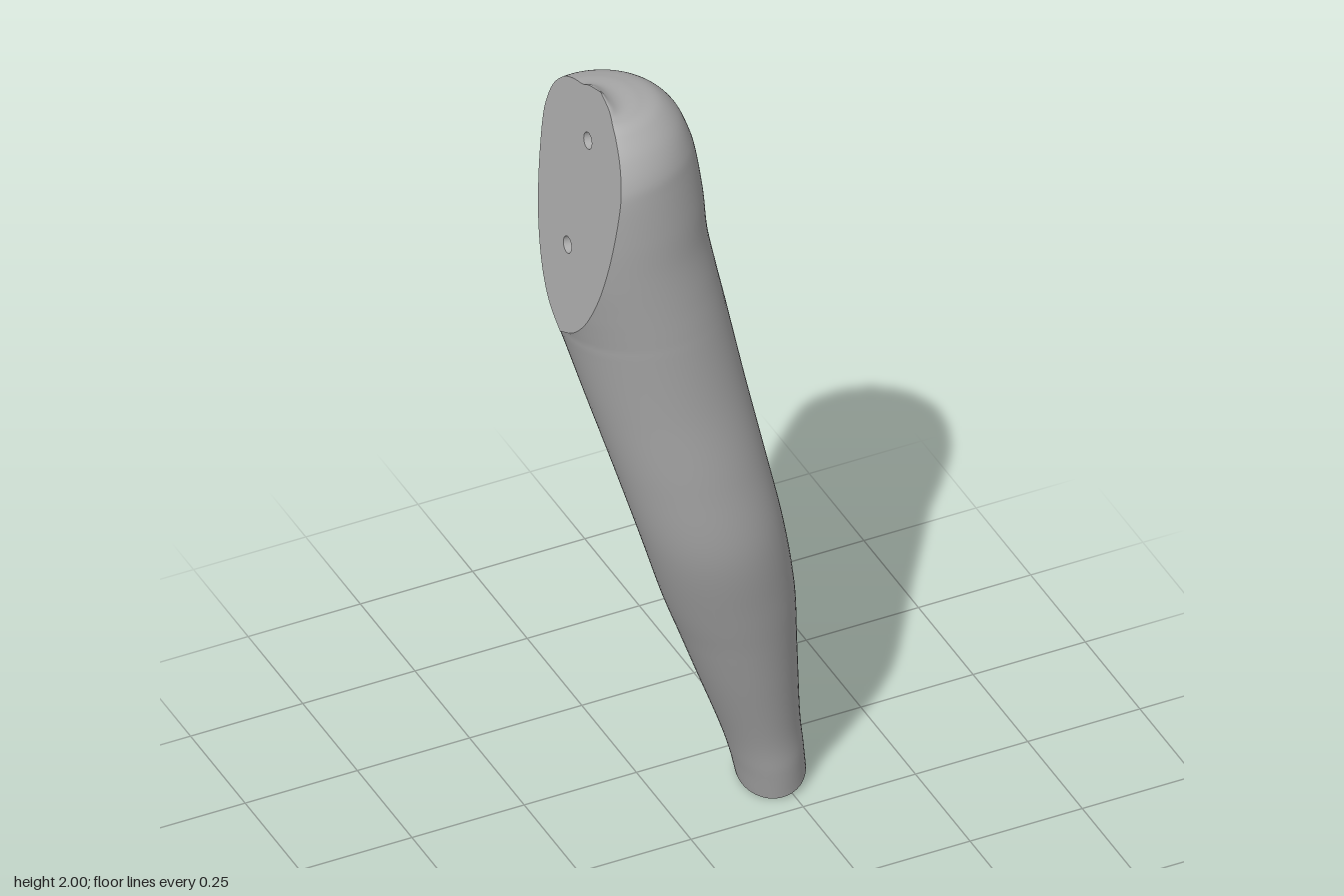
import * as THREE from 'three';
import { mergeVertices } from 'three/addons/utils/BufferGeometryUtils.js';

// Horizontal sections of the arm: y, left x, right x, back z, front z
const SECTIONS = [
  [0.027, 0.17, 0.306, -0.215, -0.04],
  [0.1, 0.15, 0.294, -0.21, -0.022],
  [0.2, 0.115, 0.278, -0.2, 0.0],
  [0.4, 0.033, 0.25, -0.168, 0.06],
  [0.6, -0.048, 0.222, -0.135, 0.117],
  [0.8, -0.118, 0.177, -0.102, 0.165],
  [1.0, -0.182, 0.13, -0.097, 0.18],
  [1.2, -0.245, 0.085, -0.105, 0.187],
  [1.4, -0.307, 0.042, -0.12, 0.2],
  [1.5, -0.345, 0.02, -0.126, 0.206],
  [1.6, -0.385, 0.0, -0.132, 0.212],
  [1.7, -0.415, -0.01, -0.138, 0.218],
  [1.8, -0.43, -0.026, -0.14, 0.219],
  [1.85, -0.41, -0.04, -0.134, 0.213],
  [1.9, -0.39, -0.062, -0.113, 0.193],
  [1.94, -0.36, -0.1, -0.075, 0.165],
  [1.96, -0.33, -0.15, -0.035, 0.145],
  [1.972, -0.29, -0.2, 0.005, 0.135],
  [1.985, -0.26, -0.225, 0.03, 0.12],
  [2.0, -0.242, -0.238, 0.078, 0.082],
];
const AROUND = 64;
const STEPS = 8;

// Flat shoulder joint: a plane through its lowest point, leaning slightly
const JOINT = new THREE.Vector3(-0.31, 1.41, 0);
const UP = new THREE.Vector3(0.07, 0.59, 0).normalize();
const OUT = new THREE.Vector3(-UP.y, UP.x, 0);
const planeX = (y) => JOINT.x + (y - JOINT.y) * UP.x / UP.y;

// Point on a section; the wrist end is tilted, fading out up the arm
function sectionPoint(s, c, n) {
  const dx = s.rx * c, dz = s.rz * n;
  const tilt = Math.max(0, 1 - s.y / 0.5);
  return new THREE.Vector3(s.cx + dx, s.y + tilt * (0.26 * dx - 0.2 * dz), s.cz + dz);
}

function smoothSections() {
  const curve = (f) => new THREE.CatmullRomCurve3(SECTIONS.map(f), false, 'catmullrom', 0.5);
  const centres = curve(([y, l, r, b, f]) => new THREE.Vector3((l + r) / 2, y, (b + f) / 2));
  const radii = curve(([y, l, r, b, f]) => new THREE.Vector3((r - l) / 2, y, (f - b) / 2));
  const count = (SECTIONS.length - 1) * STEPS;
  const list = [];
  for (let i = 0; i <= count; i++) {
    const c = centres.getPoint(i / count), r = radii.getPoint(i / count);
    const s = { y: c.y, cx: c.x, cz: c.z, rx: Math.max(r.x, 0.001), rz: Math.max(r.z, 0.001) };
    // Half angle of the section that lies outside the joint plane
    const k = (planeX(s.y) - s.cx) / s.rx;
    s.cut = s.y > 1.3 && k > -1;
    s.angle = s.cut ? Math.acos(Math.min(k, 0.99)) : Math.PI;
    list.push(s);
  }
  return list;
}

export function createModel() {
  const group = new THREE.Group();
  const grey = new THREE.MeshStandardMaterial({ color: 0xb0b0b0, side: THREE.DoubleSide });
  grey.name = 'plain grey';
  const add = (name, geometry) => {
    const mesh = new THREE.Mesh(geometry, grey);
    mesh.name = name;
    group.add(mesh);
    return mesh;
  };
  const sections = smoothSections();

  // Arm skin
  const positions = [], index = [], row = AROUND + 1;
  sections.forEach((s, i) => {
    for (let j = 0; j <= AROUND; j++) {
      const a = s.angle * (2 * j / AROUND - 1);
      positions.push(...sectionPoint(s, Math.cos(a), Math.sin(a)).toArray());
      if (i < sections.length - 1 && j < AROUND) {
        const p = i * row + j;
        index.push(p, p + row, p + 1, p + 1, p + row, p + row + 1);
      }
    }
  });
  let skin = new THREE.BufferGeometry();
  skin.setAttribute('position', new THREE.Float32BufferAttribute(positions, 3));
  skin.setIndex(index);
  skin = mergeVertices(skin, 1e-5);
  skin.computeVertexNormals();
  add('arm', skin);

  // Flat wrist end
  const wrist = new THREE.CircleGeometry(1, AROUND);
  const wp = wrist.attributes.position;
  for (let i = 0; i < wp.count; i++) {
    const p = sectionPoint(sections[0], wp.getX(i), wp.getY(i));
    wp.setXYZ(i, p.x, p.y, p.z);
  }
  wrist.computeVertexNormals();
  add('wristEnd', wrist);

  // Flat shoulder face, outlined by the cut edges of the sections
  const cut = sections.filter((s) => s.cut);
  const edge = (side) => cut.map((s) =>
    new THREE.Vector2(s.cz + side * s.rz * Math.sin(s.angle), (s.y - JOINT.y) / UP.y));
  const below = sections[sections.indexOf(cut[0]) - 1];
  const bottom = new THREE.Vector2(below.cz, (below.y - JOINT.y) / UP.y);
  const face = new THREE.Shape([bottom, ...edge(1), ...edge(-1).reverse()]);
  const pegHoles = [[0.025, 0.19], [0.053, 0.46]];
  const holeRadius = 0.018, holeDepth = 0.08;
  for (const [u, v] of pegHoles) {
    face.holes.push(new THREE.Path().absarc(u, v, holeRadius, 0, Math.PI * 2, true));
  }
  const toJoint = new THREE.Matrix4()
    .makeBasis(new THREE.Vector3(0, 0, 1), UP, OUT).setPosition(JOINT);
  add('shoulderFace', new THREE.ShapeGeometry(face, 12).applyMatrix4(toJoint));

  // Blind peg holes in the shoulder face
  for (const [u, v] of pegHoles) {
    const wall = new THREE.CylinderGeometry(holeRadius, holeRadius, holeDepth, 24, 1, true);
    wall.rotateX(Math.PI / 2).translate(u, v, -holeDepth / 2);
    add('pegHoleWall', wall.applyMatrix4(toJoint));
    const floor = new THREE.CircleGeometry(holeRadius, 24).translate(u, v, -holeDepth);
    add('pegHoleFloor', floor.applyMatrix4(toJoint));
  }
  return group;
}
